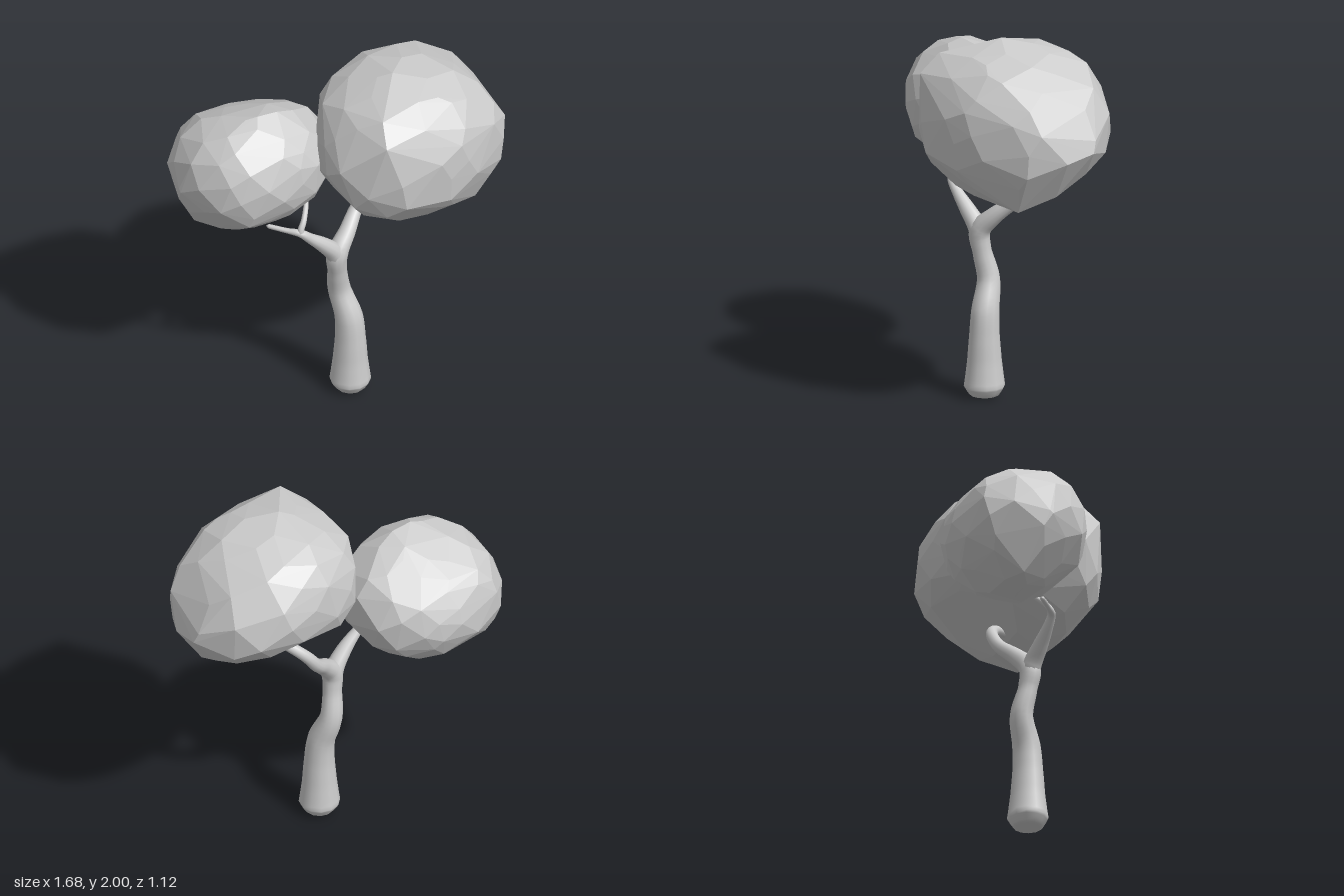
import * as THREE from 'three';
import { mergeVertices } from 'three/addons/utils/BufferGeometryUtils.js';
import { ConvexGeometry } from 'three/addons/geometries/ConvexGeometry.js';

const grey = new THREE.MeshStandardMaterial({ color: 0xcccccc });
const faceted = new THREE.MeshStandardMaterial({ color: 0xcccccc, flatShading: true });

// Smooth limb through stations [x, y, z, radius], tapering between them
function limb(name, stations, sides = 12) {
  const points = stations.map(s => new THREE.Vector3(s[0], s[1], s[2]));
  const curve = new THREE.CatmullRomCurve3(points);
  curve.getUtoTmapping = u => u; // even steps per station
  const last = stations.length - 1, rings = last * 5;
  const tube = new THREE.TubeGeometry(curve, rings, 1, sides);
  const pos = tube.attributes.position, v = new THREE.Vector3();
  for (let i = 0; i <= rings; i++) {
    const t = i / rings, k = Math.min(Math.floor(t * last), last - 1);
    const r = THREE.MathUtils.lerp(stations[k][3], stations[k + 1][3], t * last - k);
    const c = curve.getPoint(t);
    for (let j = 0; j <= sides; j++) {
      const n = i * (sides + 1) + j;
      v.fromBufferAttribute(pos, n).sub(c).multiplyScalar(r).add(c);
      pos.setXYZ(n, v.x, v.y, v.z);
    }
  }
  tube.deleteAttribute('normal');
  tube.deleteAttribute('uv');
  const geo = mergeVertices(tube, 1e-4);
  geo.computeVertexNormals();
  const mesh = new THREE.Mesh(geo, grey);
  mesh.name = name;
  return mesh;
}

// How far (a, b) reaches towards a convex outline around (ca, cb): 1 on the outline
function gauge(outline, ca, cb, a, b) {
  let best = 0;
  outline.forEach(([pa, pb], i) => {
    const [qa, qb] = outline[(i + 1) % outline.length];
    const na = qb - pb, nb = pa - qa;
    const h = na * (pa - ca) + nb * (pb - cb);
    best = Math.max(best, (na * a + nb * b) / h);
  });
  return best;
}

// Make an outline run counter-clockwise
function ccw(outline) {
  const area = THREE.ShapeUtils.area(outline.map(p => new THREE.Vector2(...p)));
  return area < 0 ? outline.slice().reverse() : outline;
}

// Faceted leaf mass fitted to a front (x, y), side (z, y) and plan (x, z) outline,
// flattened by slanting cuts [nx, ny, nz, distance from centre], with prominent corners added
function canopy(name, centre, front, side, plan, cuts, corners, seed, count) {
  const rand = () => (seed = (seed * 16807) % 2147483647) / 2147483647;
  const [cx, cy, cz] = centre;
  const [f, s, p] = [front, side, plan].map(ccw);
  const points = corners.map(c => new THREE.Vector3(...c));
  for (let i = 0; i < count; i++) {
    const y = THREE.MathUtils.clamp(1 - 2 * (i + 0.5) / count + (rand() - 0.5) * 0.06, -1, 1);
    const a = i * 2.39996 + (rand() - 0.5) * 0.35, q = Math.sqrt(1 - y * y);
    const d = new THREE.Vector3(q * Math.cos(a), y, q * Math.sin(a));
    const g = [gauge(f, cx, cy, d.x, d.y), gauge(s, cz, cy, d.z, d.y), gauge(p, cx, cz, d.x, d.z)];
    const round = 0.98 * Math.sqrt((g[0] ** 2 + g[1] ** 2 + g[2] ** 2) / 2);
    const flat = cuts.map(c => (c[0] * d.x + c[1] * d.y + c[2] * d.z) / c[3]);
    points.push(d.divideScalar(Math.max(...g, ...flat, round)).add(new THREE.Vector3(cx, cy, cz)));
  }
  const geo = new ConvexGeometry(points);
  // Bring the facets out to the exact extents
  geo.computeBoundingBox();
  const b = geo.boundingBox, pos = geo.attributes.position;
  const range = (o, k) => [Math.min(...o.map(e => e[k])), Math.max(...o.map(e => e[k]))];
  const [x0, x1] = range(front, 0), [y0, y1] = range(front, 1), [z0, z1] = range(plan, 1);
  const fit = THREE.MathUtils.mapLinear;
  for (let i = 0; i < pos.count; i++) {
    pos.setXYZ(i,
      fit(pos.getX(i), b.min.x, b.max.x, x0, x1),
      fit(pos.getY(i), b.min.y, b.max.y, y0, y1),
      fit(pos.getZ(i), b.min.z, b.max.z, z0, z1));
  }
  geo.computeVertexNormals();
  const mesh = new THREE.Mesh(geo, faceted);
  mesh.name = name;
  return mesh;
}

export function createModel() {
  const tree = new THREE.Group();
  tree.name = 'tree';

  // Trunk with rounded foot, running on into the left branch
  tree.add(limb('trunk', [
    [0, 0.005, 0.09, 0], [0, 0.02, 0.09, 0.075], [0, 0.07, 0.09, 0.107], [0, 0.2, 0.09, 0.09],
    [0, 0.34, 0.09, 0.079], [-0.005, 0.47, 0.08, 0.073], [-0.035, 0.62, 0.037, 0.06],
    [-0.06, 0.77, 0.06, 0.05], [-0.065, 0.88, 0.07, 0.057], [0.01, 0.97, 0.035, 0.045],
    [0.1, 1.06, -0.025, 0.034], [0.17, 1.15, -0.03, 0.031], [0.24, 1.215, 0.02, 0.028],
    [0.285, 1.235, 0.09, 0.024], [0.31, 1.24, 0.17, 0.02], [0.315, 1.24, 0.185, 0]]));

  // Right branch and its two twigs
  tree.add(limb('rightBranch', [
    [-0.06, 0.76, 0.06, 0.03], [-0.075, 0.88, 0.07, 0.052], [-0.15, 0.975, 0.085, 0.041],
    [-0.23, 1.05, 0.09, 0.028], [-0.285, 1.1, 0.085, 0.021], [-0.34, 1.108, 0.04, 0.014],
    [-0.41, 1.115, -0.03, 0.012], [-0.42, 1.116, -0.04, 0]]));
  tree.add(limb('rightTwig', [
    [-0.27, 1.08, 0.088, 0.016], [-0.285, 1.11, 0.085, 0.018], [-0.26, 1.16, 0.07, 0.015],
    [-0.22, 1.21, 0.02, 0.013], [-0.18, 1.25, -0.05, 0.011], [-0.175, 1.255, -0.06, 0]]));

  // Leaf masses
  tree.add(canopy('leftCanopy', [0.31, 1.58, 0.13],
    [[0.22, 2], [0.55, 1.93], [0.68, 1.82], [0.81, 1.64], [0.84, 1.51], [0.83, 1.4], [0.74, 1.28], [0.62, 1.19],
      [0.45, 1.18], [0.21, 1.18], [-0.08, 1.28], [-0.17, 1.39], [-0.21, 1.54], [-0.18, 1.67], [-0.11, 1.84], [0.03, 1.92]],
    [[0.15, 2], [-0.16, 1.94], [-0.25, 1.89], [-0.29, 1.8], [-0.31, 1.67], [-0.3, 1.54], [-0.25, 1.45],
      [-0.03, 1.3], [0.16, 1.18], [0.35, 1.18], [0.42, 1.21], [0.56, 1.4], [0.56, 1.7], [0.5, 1.83], [0.4, 1.93]],
    [[0, -0.21], [0.21, -0.29], [0.54, -0.31], [0.67, -0.24], [0.76, -0.16], [0.84, 0.03], [0.84, 0.17], [0.76, 0.36],
      [0.49, 0.52], [0.29, 0.56], [0.02, 0.56], [-0.16, 0.39], [-0.21, 0.32], [-0.19, 0.11], [-0.13, -0.04]],
    [],
    [[0.22, 2, 0.15], [0.03, 1.92, 0.4], [0.37, 1.93, 0.36], [0, 1.82, 0.5], [0.6, 1.19, 0.33], [0.21, 1.18, 0.2],
      [0.84, 1.51, 0.03]], 41, 95));
  tree.add(canopy('rightCanopy', [-0.43, 1.43, -0.2],
    [[-0.84, 1.45], [-0.79, 1.61], [-0.7, 1.7], [-0.54, 1.77], [-0.45, 1.79], [-0.33, 1.78], [-0.16, 1.7], [-0.06, 1.6],
      [-0.01, 1.45], [-0.05, 1.3], [-0.17, 1.19], [-0.38, 1.07], [-0.62, 1.07], [-0.71, 1.09], [-0.8, 1.21], [-0.84, 1.36]],
    [[-0.1, 1.79], [-0.2, 1.76], [-0.39, 1.67], [-0.47, 1.61], [-0.54, 1.49], [-0.56, 1.36], [-0.47, 1.2], [-0.3, 1.07],
      [-0.18, 1.07], [-0.04, 1.13], [0.08, 1.25], [0.15, 1.42], [0.12, 1.6], [0.03, 1.73]],
    [[-0.58, -0.56], [-0.4, -0.55], [-0.22, -0.51], [-0.08, -0.41], [-0.03, -0.29], [-0.01, -0.18], [-0.06, 0.02],
      [-0.18, 0.09], [-0.34, 0.13], [-0.48, 0.15], [-0.58, 0.13], [-0.69, 0.08], [-0.77, -0.01], [-0.84, -0.14],
      [-0.84, -0.25], [-0.81, -0.44], [-0.74, -0.51]],
    [[0.28, 0.82, -0.5, 0.3], [-0.68, -0.58, 0.45, 0.355]],
    [[-0.45, 1.79, -0.1], [-0.71, 1.09, -0.28], [-0.62, 1.07, -0.22], [-0.84, 1.4, -0.2]], 77, 95));
  return tree;
}
